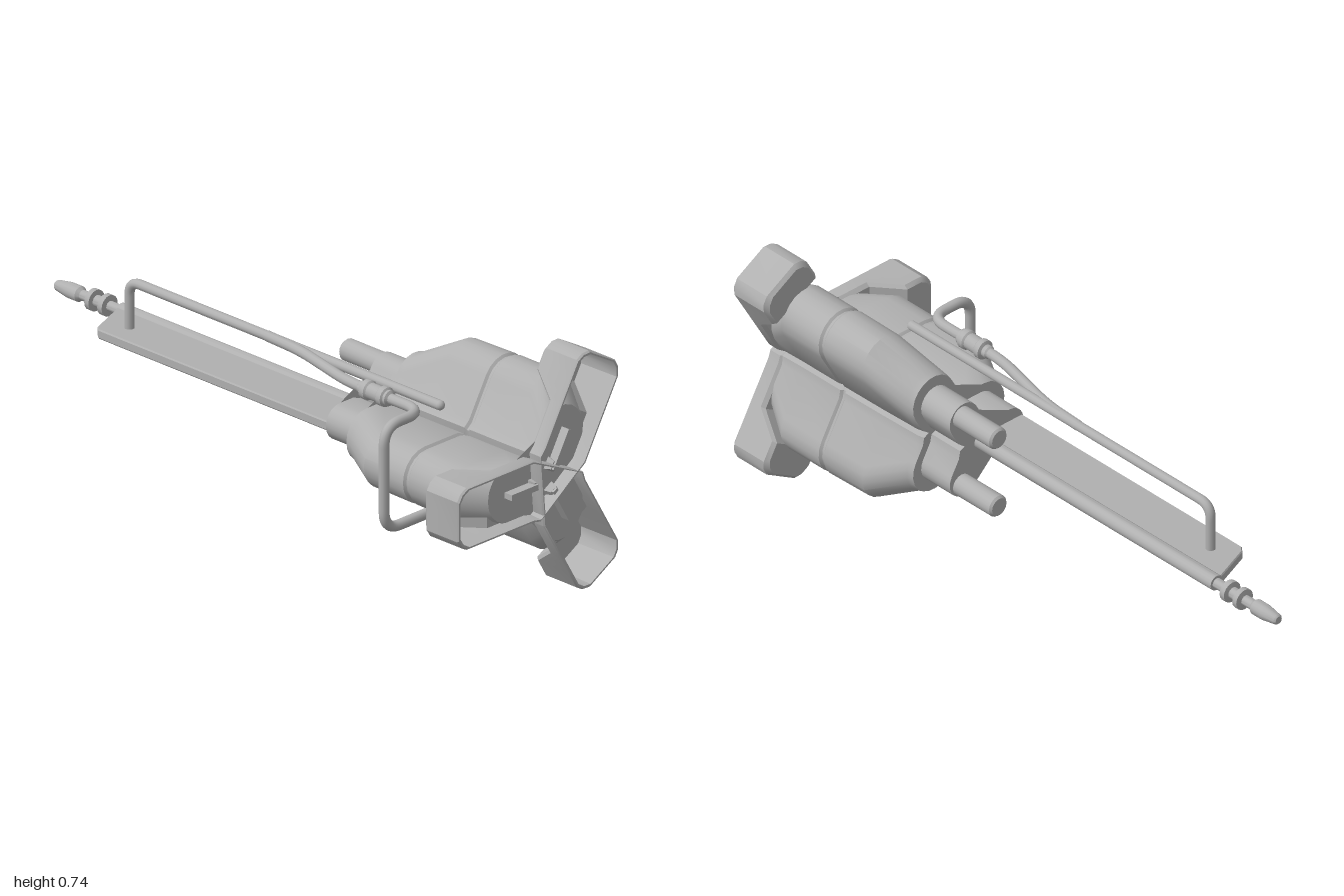
import * as THREE from 'three';
import { toCreasedNormals, mergeGeometries } from 'three/addons/utils/BufferGeometryUtils.js';

const CX = 0.066, CY = 0.372;          // axis of the three-lobed body
const ARMS = [Math.PI / 3, Math.PI, -Math.PI / 3];
const grey = new THREE.MeshStandardMaterial({ color: 0xb0b0b0, side: THREE.DoubleSide });
grey.name = 'grey';

function add(parent, name, geometry) {
  const mesh = new THREE.Mesh(geometry, grey);
  mesh.name = name;
  parent.add(mesh);
  return mesh;
}

// repeats a half-lobe [along, across] list on three arms, with a point in each notch
function threeArms(half, notch) {
  const pts = [];
  for (const a of ARMS.slice().reverse()) {
    const put = (u, v) => pts.push({
      x: CX + u * Math.cos(a) - v * Math.sin(a), y: CY + u * Math.sin(a) + v * Math.cos(a), u });
    half.forEach(([u, v]) => put(u, -v));
    half.slice().reverse().forEach(([u, v]) => { if (v > 0) put(u, v); });
    put(notch * Math.cos(Math.PI / 3), notch * Math.sin(Math.PI / 3));
  }
  return pts;
}

// rounded three-lobed outline: tip radius R, half width w
function lobes(R, w) {
  const half = [[0.577 * w + 0.03, w]];
  for (let i = 0; i <= 5; i++) {
    const t = (i / 5) * Math.PI / 2;
    half.push([R - w + w * Math.sin(t), i === 5 ? 0 : w * Math.cos(t)]);
  }
  return threeArms(half, 1.155 * w + 0.01);
}

// skin through rings of equal length, running from back to front
function loft(rings, capped) {
  const n = rings[0].length, pos = [], idx = [];
  rings.forEach(r => r.forEach(p => pos.push(p.x, p.y, p.z)));
  for (let i = 0; i < rings.length - 1; i++)
    for (let j = 0; j < n; j++) {
      const a = i * n + j, b = i * n + (j + 1) % n;
      idx.push(a, b, b + n, a, b + n, a + n);
    }
  if (capped) {
    const tri = k => THREE.ShapeUtils.triangulateShape(rings[k].map(p => new THREE.Vector2(p.x, p.y)), []);
    const last = (rings.length - 1) * n;
    tri(0).forEach(([a, b, c]) => idx.push(a, c, b));
    tri(rings.length - 1).forEach(([a, b, c]) => idx.push(last + a, last + b, last + c));
  }
  const g = new THREE.BufferGeometry();
  g.setAttribute('position', new THREE.Float32BufferAttribute(pos, 3));
  g.setIndex(idx);
  return toCreasedNormals(g, 0.5);
}
const lobeLoft = sections =>
  loft(sections.map(([z, R, w]) => lobes(R, w).map(p => ({ ...p, z }))), true);

// pipe through corner points with rounded bends
function pipe(points, radius, bend) {
  const v = points.map(p => new THREE.Vector3(...p)), path = new THREE.CurvePath();
  let from = v[0];
  for (let i = 1; i < v.length - 1; i++) {
    const toward = q => v[i].clone().add(q.clone().sub(v[i]).setLength(bend));
    const s = toward(v[i - 1]), e = toward(v[i + 1]);
    path.add(new THREE.LineCurve3(from, s));
    path.add(new THREE.QuadraticBezierCurve3(s, v[i], e));
    from = e;
  }
  path.add(new THREE.LineCurve3(from, v[v.length - 1]));
  return new THREE.TubeGeometry(path, 160, radius, 12);
}

// turned part along z from [radius, z] points
function turned(profile, x, y) {
  const g = new THREE.LatheGeometry(profile.map(([r, z]) => new THREE.Vector2(r, z)), 16);
  g.rotateX(Math.PI / 2).translate(x, y, 0);
  return toCreasedNormals(g, 0.6);
}

// back edge of the front tray, deeper toward the arm tips
const trayBack = u => 0.945 - 0.085 * THREE.MathUtils.clamp((u - 0.22) / 0.07, 0, 1);

function frontTray(group) {
  const stations = [[0.085, 0.097], [0.22, 0.097], [0.255, 0.097], [0.29, 0.097], [0.355, 0.097], [0.378, 0.084], [0.392, 0.062]];
  const ring = (inset, zOf) => threeArms(
    stations.map(([u, v], i) => [i > 3 ? u - inset : u, v - inset]), 0.118 - inset)
    .map(p => ({ ...p, z: zOf(p.u) }));
  const floor = ring(0.01, trayBack);
  add(group, 'trayWall', loft([
    floor, ring(0, u => trayBack(u) + 0.012), ring(0, () => 0.994),
    ring(0.003, () => 1), ring(0.008, () => 1), ring(0.01, trayBack)], false));
  // floor strips joining the two sides of each arm
  const S = stations.length, pos = [], idx = [];
  floor.forEach(p => pos.push(p.x, p.y, p.z));
  for (let k = 0; k < 3; k++)
    for (let i = 0; i < S - 1; i++) {
      const o = k * (2 * S + 1), a = o + i, d = o + 2 * S - 1 - i;
      idx.push(a, a + 1, d - 1, a, d - 1, d);
    }
  const g = new THREE.BufferGeometry();
  g.setAttribute('position', new THREE.Float32BufferAttribute(pos, 3));
  g.setIndex(idx);
  add(group, 'trayFloor', toCreasedNormals(g, 0.4));
}

export function createModel() {
  const group = new THREE.Group();
  group.name = 'threeLobedDevice';

  // main body with a groove, rear taper and raised front face
  add(group, 'body', lobeLoft([
    [0.37, 0.212, 0.08], [0.39, 0.218, 0.084], [0.53, 0.302, 0.087], [0.69, 0.305, 0.088],
    [0.697, 0.298, 0.081], [0.705, 0.298, 0.081], [0.712, 0.305, 0.088],
    [0.87, 0.305, 0.088], [0.956, 0.228, 0.09]]));
  add(group, 'neck', lobeLoft([[0.25, 0.174, 0.055], [0.40, 0.174, 0.055]]));
  frontTray(group);

  // bars and blocks on the front face, one set per lobe
  ARMS.forEach(a => {
    const set = new THREE.Group();
    set.name = 'frontContact';
    set.position.set(CX, CY, 0);
    set.rotation.z = a;
    add(set, 'contactBar', new THREE.BoxGeometry(0.125, 0.018, 0.03).translate(0.0975, 0, 0.97));
    const block = new THREE.CylinderGeometry(0.018, 0.027, 0.024, 4, 1);
    block.rotateY(Math.PI / 4).rotateX(Math.PI / 2).translate(0.047, 0, 0.966);
    add(set, 'contactBlock', toCreasedNormals(block, 0.3));
    group.add(set);
  });

  // two rear pins on the right-hand lobes
  [1, -1].forEach(s => add(group, 'rearPin', turned(
    [[0, 0.092], [0.028, 0.092], [0.034, 0.099], [0.034, 0.26]].reverse(),
    CX + 0.068, CY + s * 0.117)));

  // long rear blade with a rod along one edge
  const plate = new THREE.Shape([[-0.102, 0.3], [0.06, 0.3], [0.06, -0.735], [0.04, -0.735], [-0.088, -0.685], [-0.102, -0.668]]
    .map(([x, z]) => new THREE.Vector2(x, z)));
  const plateGeo = new THREE.ExtrudeGeometry(plate, { depth: 0.022, bevelThickness: 0.004, bevelSize: 0.003, bevelSegments: 1 });
  add(group, 'bladePlate', plateGeo.rotateX(Math.PI / 2).translate(0, CY + 0.011, 0));
  add(group, 'bladeRod', turned([[0.024, 0.3], [0.024, -0.74], [0, -0.74]], 0.06, CY));

  // ringed tip at the end of the rod
  add(group, 'rodTip', turned([
    [0.016, -0.73], [0.016, -0.785], [0.033, -0.787], [0.033, -0.805], [0.018, -0.808],
    [0.018, -0.838], [0.033, -0.84], [0.033, -0.857], [0.016, -0.86], [0.016, -0.895],
    [0.024, -0.905], [0.024, -0.945], [0.016, -0.995], [0.012, -1], [0, -1]], 0.06, CY));

  // straight pipe above the blade, bent down into the plate
  const top = 0.535, px = -0.033;
  add(group, 'straightPipe', mergeGeometries([
    pipe([[px, top, 0.635], [px, top, -0.615], [px, CY, -0.615]], 0.015, 0.045),
    new THREE.SphereGeometry(0.015, 12, 8).translate(px, top, 0.635)]));

  // hose looping around the side lobe and joining the straight pipe
  add(group, 'sideHose', pipe([
    [-0.035, 0.31, 0.63], [-0.035, 0.21, 0.63], [-0.255, 0.21, 0.63], [-0.255, top, 0.63],
    [-0.1, top, 0.63], [-0.1, top, 0.33], [-0.04, top, 0.08], [px, top, -0.06]], 0.016, 0.062));
  add(group, 'hoseConnector', turned([
    [0.016, 0.505], [0.024, 0.5], [0.024, 0.492], [0.03, 0.488], [0.03, 0.47], [0.025, 0.465], [0.025, 0.425],
    [0.03, 0.42], [0.03, 0.402], [0.02, 0.398], [0.02, 0.385], [0.016, 0.38]], -0.1, top));

  return group;
}
